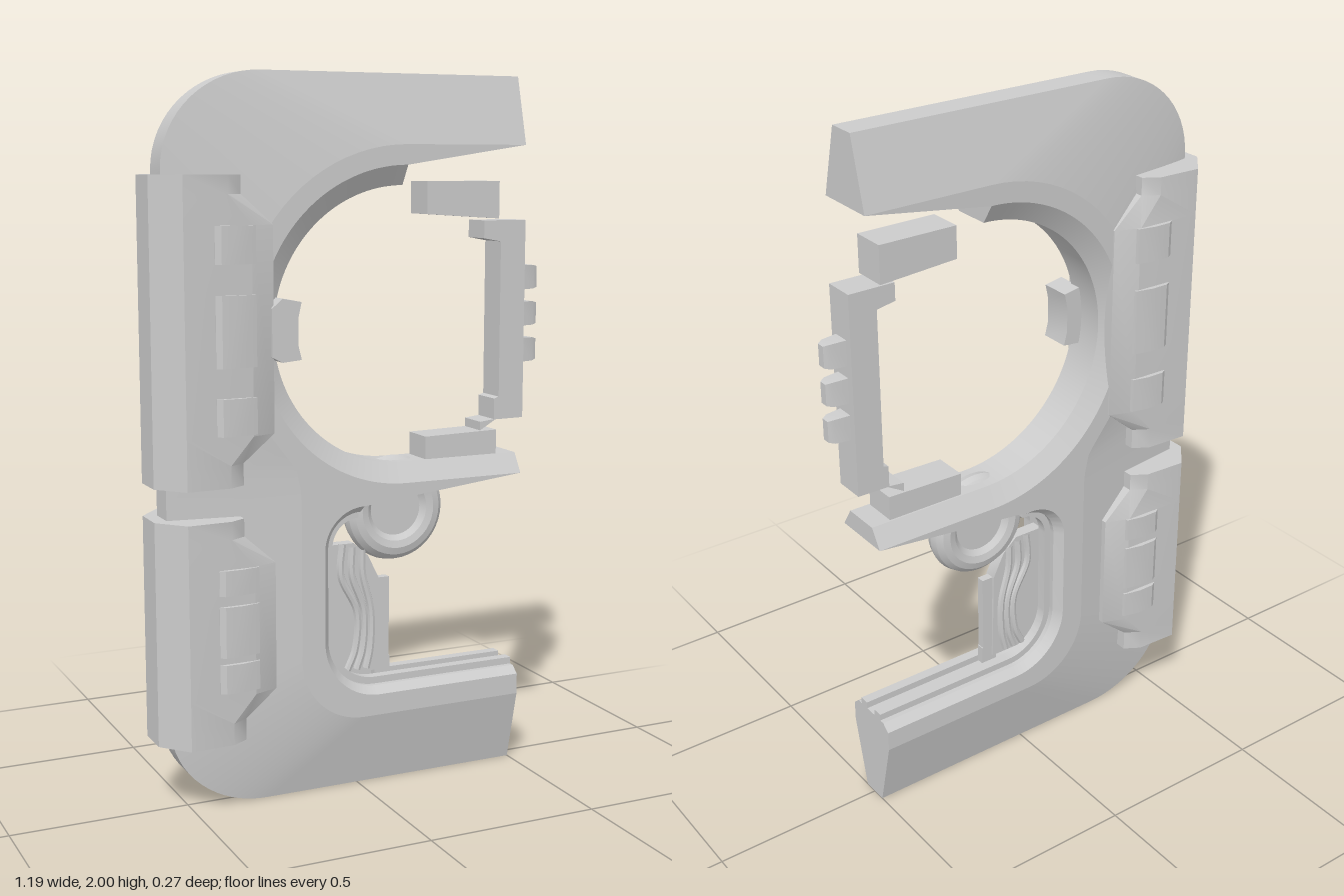
import * as THREE from 'three';
import { toCreasedNormals } from 'three/addons/utils/BufferGeometryUtils.js';

const V = (x, y, z) => new THREE.Vector3(x, y, z);
const material = new THREE.MeshStandardMaterial({ color: 0xcccccc });

function add(group, name, geometry) {
  const mesh = new THREE.Mesh(toCreasedNormals(geometry, 0.5), material);
  mesh.name = name;
  group.add(mesh);
  return mesh;
}

// Closed solid through a row of matching cross-sections, capped at both ends
function loft(sections) {
  const n = sections[0].length, tris = [];
  for (let i = 0; i < sections.length - 1; i++) {
    for (let j = 0; j < n; j++) {
      const k = (j + 1) % n, a = sections[i], b = sections[i + 1];
      tris.push([a[j], b[j], b[k]], [a[j], b[k], a[k]]);
    }
  }
  const first = sections[0], last = sections[sections.length - 1];
  for (let j = 1; j < n - 1; j++) {
    tris.push([first[0], first[j], first[j + 1]], [last[0], last[j + 1], last[j]]);
  }
  // Turn every face outward, judged by the enclosed volume
  let volume = 0;
  for (const [a, b, c] of tris) volume += a.dot(b.clone().cross(c));
  const points = tris.flatMap(([a, b, c]) => (volume < 0 ? [a, c, b] : [a, b, c]));
  return new THREE.BufferGeometry().setFromPoints(points);
}

// Solid band between two matching flat paths, each with its own z range
function band(p, q, pz, qz) {
  return loft(p.map((a, i) => [
    V(a.x, a.y, pz[1]), V(q[i].x, q[i].y, qz[1]), V(q[i].x, q[i].y, qz[0]), V(a.x, a.y, pz[0]),
  ]));
}

// Flat outline extruded from z0 to z1
function slab(points, z0, z1) {
  const shape = new THREE.Shape(points.map((p) => (p.isVector2 ? p : new THREE.Vector2(...p))));
  const g = new THREE.ExtrudeGeometry(shape, { depth: z1 - z0, bevelEnabled: false });
  return g.translate(0, 0, z0);
}

function box(x0, x1, y0, y1, z0, z1) {
  return new THREE.BoxGeometry(x1 - x0, y1 - y0, z1 - z0)
    .translate((x0 + x1) / 2, (y0 + y1) / 2, (z0 + z1) / 2);
}

// Opening edges, grown outward by o, from top right round to bottom right
function upperOpening(o) {
  const p = new THREE.Path();
  p.moveTo(0.5, 1.7 + o);
  p.absarc(0.13, 1.315, 0.385 + o, Math.PI / 2, Math.PI * 1.5, false);
  p.lineTo(0.5, 0.93 - o);
  return p.getPoints(40);
}
function lowerOpening(o) {
  const p = new THREE.Path();
  p.moveTo(0.5, 0.78 + o);
  p.absarc(0, 0.7, 0.08 + o, Math.PI / 2, Math.PI, false);
  p.absarc(0.05, 0.44, 0.13 + o, Math.PI, Math.PI * 1.5, false);
  p.lineTo(0.5, 0.31 - o);
  return p.getPoints(12);
}

// Outer silhouette and the ridge, split into the same five stretches
function frameEdges() {
  const P = () => new THREE.Path();
  const deg = Math.PI / 180;
  const line = (...pts) => P().setFromPoints(pts.map((p) => new THREE.Vector2(...p)));
  const arc = (x, y, rx, ry, a, b) => P().absellipse(x, y, rx, ry, a * deg, b * deg, false);
  const outer = [
    line([0.5, 2], [-0.28, 2]), arc(-0.28, 1.74, 0.28, 0.26, 90, 180),
    line([-0.56, 1.74], [-0.56, 0.24]), arc(-0.28, 0.25, 0.28, 0.25, 180, 270),
    line([-0.28, 0], [0.5, 0]),
  ];
  const side = arc(0.13, 1.315, 0.495, 0.495, 160, 215);
  side.lineTo(-0.205, 0.94).lineTo(-0.19, 0.87).lineTo(-0.19, 0.4);
  const ridge = [
    line([0.5, 1.81], [0.13, 1.81]), arc(0.13, 1.315, 0.495, 0.495, 90, 160), side,
    arc(0, 0.4, 0.19, 0.19, 180, 270), line([0, 0.21], [0.5, 0.21]),
  ];
  const sample = (paths) => paths.flatMap((p, i) => p.getSpacedPoints(i === 2 ? 40 : 16).slice(i ? 1 : 0));
  return [sample(outer), sample(ridge)];
}

// Octagonal side cover whose front flange narrows at both ends
function sideCover(y0, y1) {
  const rows = [[y0, 0], [y0 + 0.06, 0], [y0 + 0.135, 1], [y1 - 0.13, 1], [y1 - 0.05, 0], [y1, 0]];
  return loft(rows.map(([y, t]) => {
    const half = [[-0.36 + 0.09 * t, 0.095], [-0.405 + 0.065 * t, 0.122], [-0.53, 0.128], [-0.597, 0.05]];
    return [...half.map(([x, z]) => V(x, y, z)), ...half.reverse().map(([x, z]) => V(x, y, -z))];
  }));
}

export function createModel() {
  const model = new THREE.Group();
  model.name = 'frame assembly';

  // Main frame: tapered outer body, flat face, bevelled openings
  const [outer, ridge] = frameEdges();
  const upperFlat = upperOpening(0.055), lowerFlat = lowerOpening(0.04);
  add(model, 'frameOuterBody', band(ridge, outer, [-0.09, 0.09], [-0.04, 0.04]));
  add(model, 'frameFace', slab(
    [...ridge, ...lowerFlat.slice().reverse(), ...upperFlat.slice().reverse()], -0.09, 0.09));
  add(model, 'upperOpeningBevel', band(upperFlat, upperOpening(0), [-0.09, 0.09], [-0.055, 0.055]));
  add(model, 'lowerOpeningBevel', band(lowerFlat, lowerOpening(0.02), [-0.09, 0.09], [-0.065, 0.065]));
  for (const z of [[0.02, 0.05], [-0.05, -0.02]]) {
    add(model, 'lowerOpeningRail', band(lowerFlat, lowerOpening(0), z, z));
  }

  // Side covers with raised pads on both faces
  const covers = [
    ['upperCover', 0.91, 1.73, [[1.05, 1.15], [1.23, 1.42], [1.5, 1.6]]],
    ['lowerCover', 0.2, 0.82, [[0.35, 0.43], [0.45, 0.59], [0.62, 0.69]]],
  ];
  for (const [name, y0, y1, pads] of covers) {
    const cover = new THREE.Group();
    cover.name = name;
    model.add(cover);
    add(cover, name + 'Shell', sideCover(y0, y1));
    for (const [a, b] of pads) {
      for (const s of [1, -1]) {
        const section = [[-0.445, 0.1], [-0.445, 0.127], [-0.43, 0.136], [-0.38, 0.136], [-0.33, 0.125], [-0.325, 0.1]];
        add(cover, name + 'Pad', loft([a, b].map((y) => section.map(([x, z]) => V(x, y, z * s)))));
      }
    }
  }

  // Notched stop on the front of the round opening
  add(model, 'openingStop', slab([[-0.28, 1.38], [-0.25, 1.405], [-0.195, 1.395], [-0.205, 1.35],
    [-0.205, 1.28], [-0.195, 1.24], [-0.25, 1.235], [-0.28, 1.25]], 0.02, 0.108));

  // Bracket across the open side, its mounting blocks and buttons
  add(model, 'upperMount', slab([[0.21, 1.71], [0.21, 1.62], [0.44, 1.605], [0.44, 1.71]], -0.05, 0.05));
  add(model, 'lowerMount', slab([[0.21, 0.92], [0.44, 0.92], [0.44, 1], [0.21, 0.995]], -0.05, 0.05));
  add(model, 'bracket', slab([[0.395, 1.6], [0.395, 1.55], [0.45, 1.54], [0.45, 1.095], [0.435, 1.09],
    [0.435, 1.03], [0.39, 1.025], [0.39, 1.0], [0.435, 1.0], [0.435, 1.03], [0.53, 1.03], [0.53, 1.6]]
    .filter((p, i) => i !== 9).map(([x, y], i) => (i === 8 ? [0.44, 1.029] : [x, y])), -0.045, 0.045));
  for (const y of [1.225, 1.33, 1.435]) {
    const ring = (x, h, d) => [V(x, y - h, -d), V(x, y + h, -d), V(x, y + h, d), V(x, y - h, d)];
    add(model, 'bracketButton', loft([ring(0.52, 0.036, 0.026), ring(0.575, 0.034, 0.02), ring(0.59, 0.03, 0.012)]));
  }

  // Ringed wheel half sunk into the middle bar
  add(model, 'wheelRing', new THREE.TorusGeometry(0.112, 0.04, 12, 40).translate(0.13, 0.79, 0));
  add(model, 'wheelHub', new THREE.CylinderGeometry(0.09, 0.09, 0.04, 32)
    .rotateX(Math.PI / 2).translate(0.13, 0.79, 0));

  // Contoured grip in the lower opening
  add(model, 'gripPlate', slab([[-0.09, 0.7], [0.0, 0.7], [0.045, 0.66], [0.08, 0.59], [0.085, 0.32],
    [-0.02, 0.32], [-0.09, 0.38]], -0.018, 0.018));
  add(model, 'gripTab', box(0.07, 0.115, 0.35, 0.59, -0.012, 0.012));
  add(model, 'gripTabFoot', box(0.07, 0.118, 0.3, 0.355, -0.012, 0.012));
  for (const s of [1, -1]) {
    [0, 0.03, 0.06].forEach((dx, i) => {
      const wave = 1 - i * 0.4;
      const curve = new THREE.CatmullRomCurve3([
        V(-0.035 + dx, 0.7 - i * 0.01, 0.018 * s), V(-0.03 - 0.01 * wave + dx, 0.61, 0.018 * s),
        V(-0.01 + 0.02 * wave + dx, 0.5, 0.018 * s), V(-0.01 + 0.015 * wave + dx, 0.39, 0.018 * s),
        V(-0.02 + dx, 0.33, 0.018 * s),
      ]);
      add(model, 'gripRib', new THREE.TubeGeometry(curve, 32, 0.011, 8));
    });
  }
  return model;
}
